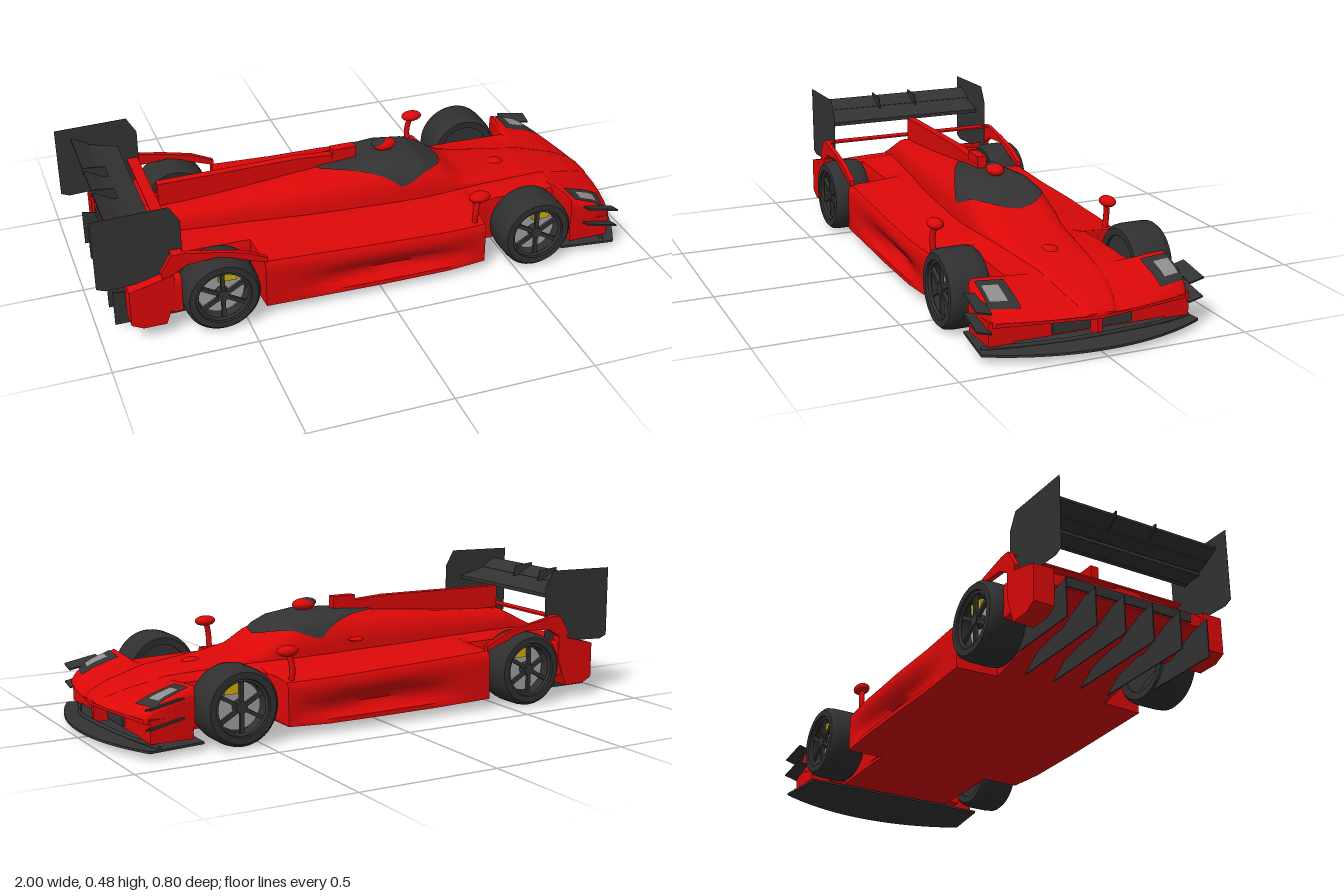
import * as THREE from 'three';
import { toCreasedNormals } from 'three/addons/utils/BufferGeometryUtils.js';

const mat = (name, color, side = THREE.FrontSide) => {
  const m = new THREE.MeshStandardMaterial({ color, side });
  m.name = name;
  return m;
};

// Body stations: x, half width, bottom, edge height, shoulder height, cabin half width, top
const STATIONS = [
  [-0.89, 0.355, 0.15, 0.19, 0.2, 0.05, 0.21],
  [-0.75, 0.36, 0.09, 0.22, 0.225, 0.07, 0.28],
  [-0.72, 0.36, 0.09, 0.222, 0.227, 0.075, 0.295],
  [-0.71, 0.215, 0.09, 0.222, 0.227, 0.075, 0.296],
  [-0.44, 0.215, 0.04, 0.22, 0.23, 0.11, 0.315],
  [-0.43, 0.365, 0.04, 0.215, 0.23, 0.11, 0.316],
  [-0.2, 0.365, 0.035, 0.205, 0.23, 0.14, 0.338],
  [0, 0.37, 0.035, 0.2, 0.23, 0.156, 0.352],
  [0.13, 0.37, 0.035, 0.195, 0.228, 0.163, 0.36],
  [0.24, 0.37, 0.035, 0.192, 0.226, 0.162, 0.345],
  [0.33, 0.365, 0.038, 0.19, 0.225, 0.155, 0.303],
  [0.39, 0.36, 0.04, 0.19, 0.222, 0.145, 0.263],
  [0.4, 0.23, 0.05, 0.2, 0.222, 0.143, 0.258],
  [0.5, 0.225, 0.055, 0.205, 0.217, 0.13, 0.236],
  [0.72, 0.225, 0.06, 0.2, 0.202, 0.1, 0.212],
  [0.73, 0.357, 0.08, 0.218, 0.2, 0.1, 0.208],
  [0.86, 0.357, 0.1, 0.183, 0.168, 0.08, 0.178],
  [0.93, 0.345, 0.105, 0.15, 0.143, 0.06, 0.152],
  [0.955, 0.335, 0.11, 0.125, 0.125, 0.05, 0.13],
];

function paramsAt(x) {
  let i = 0;
  while (i < STATIONS.length - 2 && x > STATIONS[i + 1][0]) i++;
  const a = STATIONS[i], b = STATIONS[i + 1];
  const t = THREE.MathUtils.clamp((x - a[0]) / (b[0] - a[0]), 0, 1);
  return a.map((v, k) => v + (b[k] - v) * t);
}

// Height of the upper bodywork
function topY(x, z) {
  const [, w, , ye, ym, c, yt] = paramsAt(x);
  const a = Math.abs(z);
  const base = ye + (ym - ye) * THREE.MathUtils.smoothstep(w - a, 0, w - c);
  return base + (a < c ? (yt - ym) * Math.sqrt(1 - (a / c) ** 4) : 0);
}

// The nose sweeps back towards its corners
const sweep = (x, z) => x - (x > 0.73 ? 0.06 * ((x - 0.73) / 0.22) * (z / 0.35) ** 2 : 0);

function section(x) {
  const [, w, yb, ye, , c] = paramsAt(x);
  const h = ye - yb;
  // Sidepod undercut deepens towards the middle of the flank
  const u = 0.04 * Math.sin(Math.PI * THREE.MathUtils.clamp((x + 0.32) / 0.7, 0, 1));
  const half = [[0, yb], [w, yb], [w, yb + h * 0.1], [w - u * 0.8, yb + h * 0.2], [w - u, yb + h * 0.35],
    [w - u * 0.6, yb + h * 0.5], [w - u * 0.1, yb + h * 0.65], [w, yb + h * 0.8], [w - 0.003, ye - h * 0.08]];
  for (const t of [0.05, 0.25, 0.5, 0.75, 0.92]) {
    const z = w + (c - w) * t;
    half.push([z, topY(x, z)]);
  }
  for (const f of [1, 0.985, 0.95, 0.88, 0.77, 0.6, 0.35, 0]) half.push([c * f, topY(x, c * f)]);
  const mirror = half.slice(1, -1).reverse().map(([z, y]) => [-z, y]);
  return half.concat(mirror).map(([z, y]) => [sweep(x, z), y, z]);
}

function meshFrom(pos, idx, crease) {
  const g = new THREE.BufferGeometry();
  g.setAttribute('position', new THREE.Float32BufferAttribute(pos.flat(), 3));
  g.setIndex(idx);
  return toCreasedNormals(g, crease);
}

function bodyGeometry() {
  const xs = [];
  STATIONS.forEach(([x], i) => {
    xs.push(x);
    const next = STATIONS[i + 1]?.[0];
    if (next - x > 0.03) for (let k = 1; k < 4; k++) xs.push(x + ((next - x) * k) / 4);
  });
  const rings = xs.map(section), n = rings[0].length, last = xs.length - 1;
  const pos = rings.flat(), idx = [];
  for (let i = 0; i < last; i++) for (let j = 0; j < n; j++) {
    const a = i * n + j, b = i * n + ((j + 1) % n);
    idx.push(a, a + n, b, b, a + n, b + n);
  }
  pos.push([-0.89, 0.17, 0], [0.955, 0.12, 0]);
  for (let j = 0; j < n; j++) {
    const k = (j + 1) % n, f = last * n;
    idx.push(pos.length - 2, j, k, pos.length - 1, f + k, f + j);
  }
  return meshFrom(pos, idx, 0.85);
}

// Thin skin lying just above the bodywork
function skin(x0, x1, zRange, lift, nx, nz) {
  const pos = [], idx = [];
  for (let i = 0; i <= nx; i++) {
    const x = x0 + ((x1 - x0) * i) / nx, [za, zb] = zRange(x);
    for (let j = 0; j <= nz; j++) {
      const z = za + ((zb - za) * j) / nz;
      pos.push([sweep(x, z), topY(x, z) + lift, z]);
      if (i < nx && j < nz) {
        const a = i * (nz + 1) + j, b = a + nz + 1;
        idx.push(a, a + 1, b, b, a + 1, b + 1);
      }
    }
  }
  return meshFrom(pos, idx, 1);
}

export function createModel() {
  const car = new THREE.Group();
  car.name = 'raceCar';
  const red = mat('bodyRed', 0xdc0808), carbon = mat('carbon', 0x333333, THREE.DoubleSide);
  const rubber = mat('rubber', 0x303030), silver = mat('discSilver', 0xa0a0a0);
  const yellow = mat('caliperYellow', 0xccb008), lamp = mat('lampGrey', 0x8e8e8e, THREE.DoubleSide);

  const add = (name, geo, m, p = [0, 0, 0], parent = car) => {
    const mesh = new THREE.Mesh(geo, m);
    mesh.name = name;
    mesh.position.set(...p);
    parent.add(mesh);
    return mesh;
  };
  const box = (name, m, x0, x1, y0, y1, z0, z1) => add(name,
    new THREE.BoxGeometry(x1 - x0, y1 - y0, Math.abs(z1 - z0)), m, [(x0 + x1) / 2, (y0 + y1) / 2, (z0 + z1) / 2]);
  // Side-on outline (x, y) extruded across z
  const plate = (name, m, pts, z, depth) => add(name, new THREE.ExtrudeGeometry(
    new THREE.Shape(pts.map((p) => new THREE.Vector2(...p))), { depth, bevelEnabled: false }), m, [0, 0, z - depth / 2]);
  const ball = (name, m, p, s) => add(name, new THREE.SphereGeometry(1, 20, 14), m, p).scale.set(...s);
  const tube = (name, m, pts, r) => add(name, new THREE.TubeGeometry(
    new THREE.CatmullRomCurve3(pts.map((p) => new THREE.Vector3(...p))), 24, r, 8), m);

  add('body', bodyGeometry(), red);

  // Canopy glass
  add('canopy', skin(-0.13, 0.347, (x) => {
    const b = x > 0.14 ? 0.156 * Math.sqrt(Math.max(0, 1 - ((x - 0.14) / 0.207) ** 2))
      : 0.03 + 0.126 * Math.max(0, (x + 0.13) / 0.27) ** 0.8;
    return [-b, b];
  }, 0.005, 40, 32), carbon);

  // Dorsal spine, roof scoop and small body bumps
  plate('dorsalSpine', red, [[-0.71, 0.3], [-0.3, 0.31], [0.02, 0.34], [0.02, 0.376], [-0.2, 0.39], [-0.71, 0.385]], 0, 0.03);
  box('roofAntenna', red, -0.07, 0.02, 0.37, 0.402, -0.018, 0.018);
  ball('roofScoop', red, [0.135, 0.382, 0], [0.045, 0.022, 0.03]);
  ball('roofScoopCap', carbon, [0.125, 0.388, 0], [0.04, 0.0175, 0.024]);
  ball('noseBump', red, [0.58, 0.222, 0], [0.035, 0.014, 0.028]);
  ball('sideVent', red, [0.02, 0.272, -0.175], [0.03, 0.008, 0.02]);

  // Front splitter, lower nose wing and air intake
  const sp = new THREE.Shape();
  sp.moveTo(0.7, -0.36);
  sp.lineTo(0.9, -0.385);
  sp.quadraticCurveTo(1.0, -0.2, 1.0, 0);
  sp.quadraticCurveTo(1.0, 0.2, 0.9, 0.385);
  sp.lineTo(0.7, 0.36);
  add('splitter', new THREE.ExtrudeGeometry(sp, { depth: 0.008, bevelEnabled: false, curveSegments: 16 })
    .rotateX(Math.PI / 2), carbon, [0, 0.032, 0]);
  tube('lowerNoseWing', carbon, [[0.86, 0.035, -0.37], [0.91, 0.045, -0.22], [0.95, 0.06, -0.09],
    [0.955, 0.06, 0.09], [0.91, 0.045, 0.22], [0.86, 0.035, 0.37]], 0.007);
  box('airIntake', carbon, 0.7, 0.895, 0.058, 0.104, -0.14, 0.14);
  box('lowerNose', red, 0.7, 0.885, 0.05, 0.112, -0.28, 0.28);
  box('nosePylon', red, 0.8, 0.945, 0.05, 0.125, -0.008, 0.008);
  box('frontFloor', red, 0.39, 0.76, 0.04, 0.07, -0.225, 0.225);

  // Rear wing
  plate('wingMainPlane', carbon, [[-0.78, 0.362], [-0.78, 0.376], [-0.84, 0.39], [-0.9, 0.408], [-0.9, 0.398], [-0.84, 0.372]], 0, 0.64);
  plate('wingFlap', carbon, [[-0.885, 0.395], [-0.885, 0.405], [-0.945, 0.437], [-0.945, 0.428]], 0, 0.65);
  box('wingBeam', carbon, -0.87, -0.8, 0.36, 0.372, -0.312, 0.312);
  box('rearExhaustPanel', carbon, -0.897, -0.889, 0.155, 0.188, -0.24, 0.24);
  box('rearCrossBar', red, -0.75, -0.71, 0.309, 0.315, -0.345, 0.345);

  // Diffuser fins
  for (let i = 0; i < 6; i++) {
    plate('diffuserFin', carbon, [[-0.94, 0.022], [-0.53, 0.022], [-0.6, 0.07], [-0.8, 0.13], [-0.94, 0.155]], -0.27 + i * 0.108, 0.004);
  }

  for (const s of [1, -1]) {
    // Headlights
    const range = (a, b) => () => (s > 0 ? [a, b] : [-b, -a]);
    add('headlightSurround', skin(0.755, 0.915, range(0.245, 0.345), 0.004, 10, 8), carbon);
    add('headlight', skin(0.79, 0.885, range(0.276, 0.335), 0.008, 6, 6), lamp);

    // Lower front fender and dive planes
    box('lowerFender', red, 0.735, 0.885, 0.045, 0.125, s * 0.27, s * 0.355);
    for (const y of [0.11, 0.175]) {
      const d = box('divePlane', carbon, 0.78, 0.9, y - 0.003, y + 0.003, s * 0.345, s * 0.398);
      d.rotation.set(s * -0.25, 0, -0.2);
    }

    // Mirrors on short stalks
    ball('mirror', red, [0.375, 0.292, s * 0.325], [0.04, 0.019, 0.027]);
    tube('mirrorStalk', red, [[0.36, 0.185, s * 0.325], [0.36, 0.235, s * 0.33], [0.37, 0.285, s * 0.325]], 0.011);

    // Rail and fin over the rear wheel, tail pod behind it
    plate('rearFenderFin', red, [[-0.78, 0.22], [-0.7, 0.268], [-0.59, 0.275], [-0.42, 0.215], [-0.42, 0.235], [-0.5, 0.272], [-0.6, 0.295], [-0.71, 0.315], [-0.75, 0.315], [-0.79, 0.25]], s * 0.352, 0.018);
    plate('tailPod', red, [[-0.9, 0.07], [-0.86, 0.05], [-0.78, 0.05], [-0.745, 0.15], [-0.745, 0.24], [-0.9, 0.2]], s * 0.325, 0.075);

    // Wing end plates and mounts
    plate('wingEndPlate', carbon, [[-1, 0.474], [-0.74, 0.48], [-0.705, 0.42], [-0.705, 0.235], [-0.72, 0.215], [-0.97, 0.203], [-1, 0.215]], s * 0.325, 0.001);
    plate('wingMount', carbon, [[-0.95, 0.425], [-0.95, 0.447], [-0.87, 0.44], [-0.86, 0.4], [-0.9, 0.4]], s * 0.078, 0.005);

    // Wheels
    for (const x of [-0.588, 0.577]) {
      const wheel = new THREE.Group();
      wheel.name = x > 0 ? 'frontWheel' : 'rearWheel';
      wheel.position.set(x, 0.136, s * 0.332);
      if (s < 0) wheel.rotation.y = Math.PI;
      car.add(wheel);
      const prof = [[0.095, -0.068], [0.12, -0.07], [0.131, -0.058], [0.134, -0.035], [0.134, 0.035],
        [0.131, 0.058], [0.12, 0.07], [0.098, 0.07], [0.095, 0.06], [0.095, -0.068]].map((p) => new THREE.Vector2(...p));
      add('tyre', toCreasedNormals(new THREE.LatheGeometry(prof, 48).rotateX(Math.PI / 2), 0.7), rubber, [0, 0, 0], wheel);
      add('wheelBack', new THREE.CylinderGeometry(0.095, 0.095, 0.06, 40).rotateX(Math.PI / 2), carbon, [0, 0, -0.03], wheel);
      add('brakeDisc', new THREE.CylinderGeometry(0.082, 0.082, 0.02, 40).rotateX(Math.PI / 2), silver, [0, 0, 0.015], wheel);
      add('caliper', new THREE.BoxGeometry(0.064, 0.036, 0.018), yellow, [s * 0.022, 0.062, 0.03], wheel);
      add('rim', new THREE.TorusGeometry(0.092, 0.006, 8, 40), carbon, [0, 0, 0.058], wheel);
      add('hub', new THREE.CylinderGeometry(0.02, 0.024, 0.03, 20).rotateX(Math.PI / 2), carbon, [0, 0, 0.045], wheel);
      for (let i = 0; i < 6; i++) {
        const a = Math.PI / 6 + (i * Math.PI) / 3;
        add('spoke', new THREE.BoxGeometry(0.085, 0.014, 0.012), carbon,
          [Math.cos(a) * 0.05, Math.sin(a) * 0.05, 0.052], wheel).rotation.z = a;
      }
    }
  }
  return car;
}
